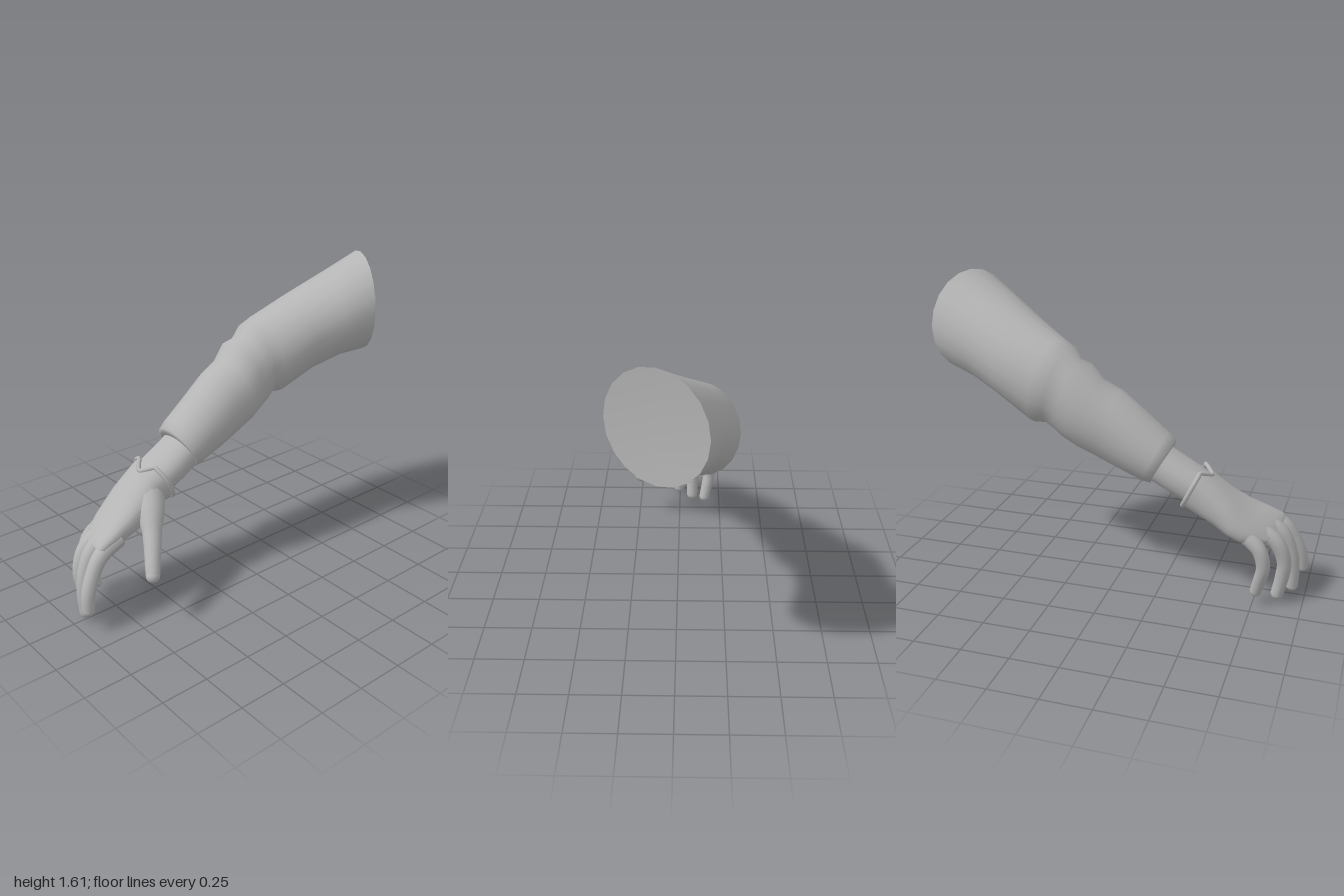
import * as THREE from 'three';

const grey = new THREE.MeshStandardMaterial({ color: 0xb4b4b4 });
grey.name = 'clay grey';

// A section is [topX, topY, bottomX, bottomY, frontZ, backZ, frontShiftX, frontShiftY].
function sectionPoint(s, a, power = 1) {
  const [tx, ty, bx, by, zf, zb, sx = 0, sy = 0] = s;
  const soft = (v) => Math.sign(v) * Math.pow(Math.abs(v), power);
  const c = soft(Math.cos(a)), n = soft(Math.sin(a));
  return new THREE.Vector3(
    (tx + bx) / 2 + c * (tx - bx) / 2 + n * sx,
    (ty + by) / 2 + c * (ty - by) / 2 + n * sy,
    (zf + zb) / 2 + n * (zf - zb) / 2
  );
}

// Skin over sections listed from the hand end towards the shoulder end.
function loft(sections, { sides = 24, power = 1, capStart = false, capEnd = false, dish = 0, move } = {}) {
  const pos = [], index = [];
  const rings = sections.map((s, i) => {
    const ring = [];
    for (let j = 0; j < sides; j++) {
      const a = (j / sides) * Math.PI * 2;
      const p = sectionPoint(s, a, power);
      if (move) move(p, a, i);
      ring.push(p);
      pos.push(p.x, p.y, p.z);
    }
    return ring;
  });
  for (let i = 0; i < rings.length - 1; i++) {
    for (let j = 0; j < sides; j++) {
      const k = (j + 1) % sides;
      const a = i * sides + j, b = i * sides + k;
      index.push(a, b, a + sides, b, b + sides, a + sides);
    }
  }
  // Caps have their own vertices so their rim stays sharp
  const cap = (ring, atEnd) => {
    const start = pos.length / 3;
    const mid = new THREE.Vector3();
    ring.forEach((p) => { pos.push(p.x, p.y, p.z); mid.add(p); });
    mid.divideScalar(sides);
    pos.push(mid.x - (atEnd ? dish : 0), mid.y, mid.z);
    for (let j = 0; j < sides; j++) {
      const a = start + j, b = start + (j + 1) % sides;
      if (atEnd) index.push(start + sides, a, b);
      else index.push(start + sides, b, a);
    }
  };
  if (capStart) cap(rings[0], false);
  if (capEnd) cap(rings[rings.length - 1], true);
  const g = new THREE.BufferGeometry();
  g.setAttribute('position', new THREE.Float32BufferAttribute(pos, 3));
  g.setIndex(index);
  g.computeVertexNormals();
  return g;
}

function addMesh(parent, name, geometry) {
  const mesh = new THREE.Mesh(geometry, grey);
  mesh.name = name;
  parent.add(mesh);
  return mesh;
}

// Tapered finger: a tube whose rings are scaled along its path, with a round tip
function finger(parent, name, points, radii) {
  const group = new THREE.Group();
  group.name = name;
  const curve = new THREE.CatmullRomCurve3(points.map((p) => new THREE.Vector3(...p)));
  const steps = 20, sides = 14;
  const g = new THREE.TubeGeometry(curve, steps, 1, sides);
  const pos = g.attributes.position, v = new THREE.Vector3();
  for (let i = 0; i <= steps; i++) {
    const centre = curve.getPointAt(i / steps);
    const f = (i / steps) * (radii.length - 1);
    const k = Math.min(Math.floor(f), radii.length - 2);
    const r = THREE.MathUtils.lerp(radii[k], radii[k + 1], f - k);
    for (let j = 0; j <= sides; j++) {
      const n = i * (sides + 1) + j;
      v.fromBufferAttribute(pos, n).sub(centre).multiplyScalar(r).add(centre);
      pos.setXYZ(n, v.x, v.y, v.z);
    }
  }
  g.computeVertexNormals();
  addMesh(group, name + 'Shaft', g);
  const tip = addMesh(group, name + 'Tip', new THREE.SphereGeometry(radii[radii.length - 1], sides, 10));
  tip.position.set(...points[points.length - 1]);
  parent.add(group);
}

export function createModel() {
  const model = new THREE.Group();
  model.name = 'sleevedArm';

  // Sleeve: turned-in cuff, forearm, elbow folds, then the wide upper arm
  const sleeve = [
    [-0.27, 0.77, -0.19, 0.64, 0.0, -0.21],
    [-0.30, 0.80, -0.195, 0.615, 0.03, -0.235],
    [-0.31, 0.83, -0.19, 0.60, 0.04, -0.25],
    [-0.27, 0.865, -0.15, 0.61, 0.045, -0.265],
    [-0.15, 0.965, 0.0, 0.67, 0.055, -0.27],
    [-0.02, 1.07, 0.12, 0.725, 0.06, -0.28],
    [0.08, 1.12, 0.20, 0.76, 0.06, -0.29],
    [0.14, 1.20, 0.28, 0.81, 0.055, -0.30],
    [0.20, 1.22, 0.32, 0.84, 0.05, -0.285],
    [0.24, 1.28, 0.36, 0.875, 0.06, -0.295, -0.02],
    [0.31, 1.315, 0.42, 0.87, 0.085, -0.305, -0.04],
    [0.50, 1.41, 0.60, 0.98, 0.16, -0.265, -0.07],
    [0.67, 1.50, 0.74, 1.04, 0.235, -0.215, -0.09],
    [0.87, 1.61, 0.89, 1.07, 0.31, -0.15, -0.12],
  ];
  addMesh(model, 'sleeve', loft(sleeve, { sides: 20, capEnd: true, dish: 0.02 }));

  // Bare wrist running from inside the glove to inside the sleeve
  addMesh(model, 'wrist', loft([
    [-0.52, 0.64, -0.43, 0.50, 0.01, -0.21],
    [-0.44, 0.69, -0.36, 0.53, 0.03, -0.225],
    [-0.36, 0.735, -0.28, 0.57, 0.03, -0.225],
    [-0.20, 0.83, -0.12, 0.66, 0.02, -0.225],
  ], { power: 0.9 }));

  const hand = new THREE.Group();
  hand.name = 'glovedHand';
  model.add(hand);

  // Glove opening with a small notch on the back of the wrist
  const rimSection = [-0.46, 0.70, -0.365, 0.50, 0.045, -0.235];
  const notch = (p, a) => {
    const depth = Math.max(0, 1 - Math.abs(Math.atan2(Math.sin(a), Math.cos(a))) / 0.45);
    p.x -= 0.045 * depth;
    p.y -= 0.035 * depth;
  };
  const palm = [
    [-0.85, 0.40, -0.83, 0.36, 0.07, -0.16, -0.03, 0.02],
    [-0.82, 0.435, -0.78, 0.345, 0.085, -0.20, -0.05, 0.02],
    [-0.75, 0.475, -0.70, 0.36, 0.08, -0.235, -0.04, 0.02],
    [-0.68, 0.525, -0.61, 0.38, 0.065, -0.24, -0.02, 0.01],
    [-0.60, 0.59, -0.52, 0.42, 0.05, -0.235],
    [-0.51, 0.665, -0.42, 0.47, 0.03, -0.23],
    rimSection,
  ];
  addMesh(hand, 'palm', loft(palm, {
    power: 0.85, capStart: true,
    move: (p, a, i) => { if (i === palm.length - 1) notch(p, a); },
  }));

  const rimPoints = [];
  for (let j = 0; j < 28; j++) {
    const a = (j / 28) * Math.PI * 2;
    const p = sectionPoint(rimSection, a, 0.85);
    notch(p, a);
    rimPoints.push(p);
  }
  addMesh(hand, 'gloveRim', new THREE.TubeGeometry(
    new THREE.CatmullRomCurve3(rimPoints, true), 84, 0.012, 8, true));

  // Fingers curl down from the knuckles
  const taper = [0.046, 0.042, 0.038, 0.037, 0.033];
  finger(hand, 'indexFinger', [[-0.74, 0.42, 0.04], [-0.86, 0.37, 0.06], [-0.925, 0.28, 0.075],
    [-0.96, 0.19, 0.088], [-0.967, 0.125, 0.095]], taper);
  finger(hand, 'middleFinger', [[-0.75, 0.425, -0.03], [-0.86, 0.36, -0.02], [-0.915, 0.25, -0.01],
    [-0.93, 0.15, 0], [-0.93, 0.052, 0.005]], taper);
  finger(hand, 'ringFinger', [[-0.74, 0.41, -0.1], [-0.85, 0.335, -0.1], [-0.893, 0.23, -0.09],
    [-0.885, 0.13, -0.08], [-0.865, 0.035, -0.078]], taper);
  finger(hand, 'littleFinger', [[-0.69, 0.40, -0.175], [-0.775, 0.325, -0.19], [-0.80, 0.23, -0.187],
    [-0.783, 0.145, -0.17], [-0.765, 0.075, -0.155]], [0.044, 0.04, 0.036, 0.034, 0.031]);

  // Thumb spreads forward from the base of the palm
  finger(hand, 'thumb', [[-0.49, 0.55, -0.04], [-0.55, 0.48, 0.06], [-0.61, 0.39, 0.15],
    [-0.655, 0.315, 0.21], [-0.675, 0.272, 0.238]], [0.085, 0.072, 0.05, 0.042, 0.036]);

  return model;
}
